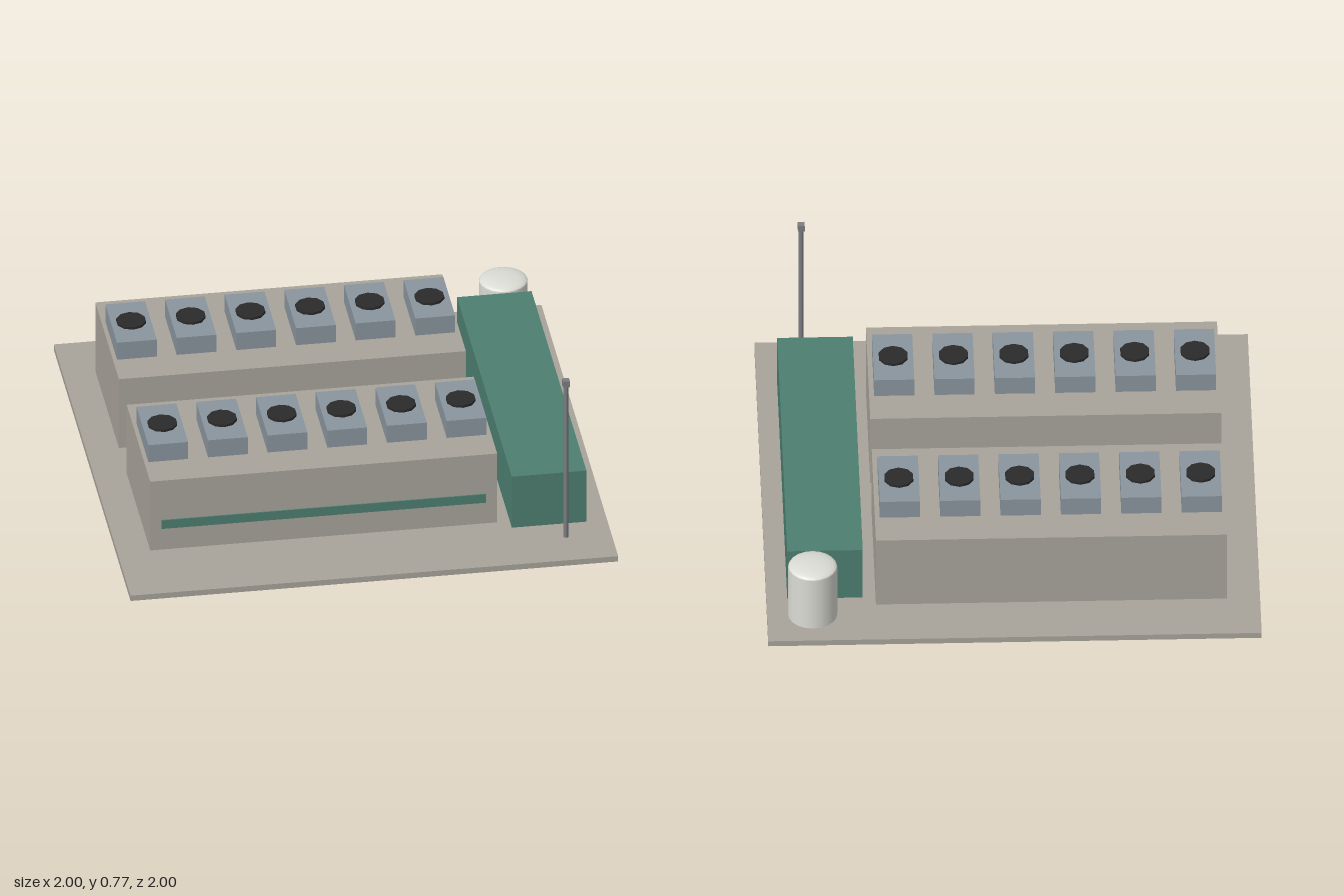
import * as THREE from 'three';

const mat = (name, color) => Object.assign(new THREE.MeshStandardMaterial({ color }), { name });

export function createModel() {
  const concrete = mat('concrete', 0xa8a49b);
  const green = mat('green cladding', 0x4d7f70);
  const steel = mat('blue grey steel', 0x8a959e);
  const dark = mat('fan black', 0x2b2b2b);
  const white = mat('tank white', 0xdcdcd6);
  const grey = mat('mast grey', 0x7c7e82);

  const model = new THREE.Group();
  model.name = 'industrialSite';

  const add = (name, geometry, material, x, y, z, parent = model) => {
    const mesh = new THREE.Mesh(geometry, material);
    mesh.name = name;
    mesh.position.set(x, y, z);
    parent.add(mesh);
    return mesh;
  };
  // Box given by its limits on each axis
  const box = (name, material, [x0, x1], [y0, y1], [z0, z1], parent) =>
    add(name, new THREE.BoxGeometry(x1 - x0, y1 - y0, z1 - z0), material,
      (x0 + x1) / 2, (y0 + y1) / 2, (z0 + z1) / 2, parent);

  // Ground slab
  box('groundSlab', concrete, [-1, 1], [0, 0.025], [-1, 1]);

  // Two halls, each with a front stripe and a row of rooftop coolers
  const coolerBox = new THREE.BoxGeometry(0.163, 0.08, 0.306);
  const fan = new THREE.CylinderGeometry(0.061, 0.061, 0.012, 10);
  for (const z of [-0.46, 0.355]) {
    const hall = new THREE.Group();
    hall.name = 'hall';
    hall.position.z = z;
    model.add(hall);
    box('hallBody', concrete, [-0.866, 0.557], [0.025, 0.35], [-0.306, 0.306], hall);
    box('hallStripe', green, [-0.82, 0.51], [0.125, 0.165], [0.304, 0.311], hall);
    for (let i = 0; i < 6; i++) {
      const x = -0.768 + i * 0.2447;
      add('coolerUnit', coolerBox, steel, x, 0.39, 0, hall);
      add('coolerFan', fan, dark, x, 0.435, 0, hall);
    }
  }

  // Long side building
  box('sideBuilding', green, [0.609, 0.915], [0.025, 0.266], [-0.717, 0.712]);

  // Storage tank with a shallow domed lid
  add('tankBody', new THREE.CylinderGeometry(0.1, 0.1, 0.24, 20), white, 0.815, 0.145, -0.82);
  const dome = add('tankDome',
    new THREE.SphereGeometry(0.1, 20, 6, 0, Math.PI * 2, 0, Math.PI / 2), white, 0.815, 0.265, -0.82);
  dome.scale.y = 0.22;

  // Mast with a small head
  add('mastPole', new THREE.CylinderGeometry(0.01, 0.01, 0.715, 8), grey, 0.815, 0.3825, 0.815);
  box('mastHead', grey, [0.801, 0.829], [0.738, 0.766], [0.801, 0.829]);

  return model;
}
